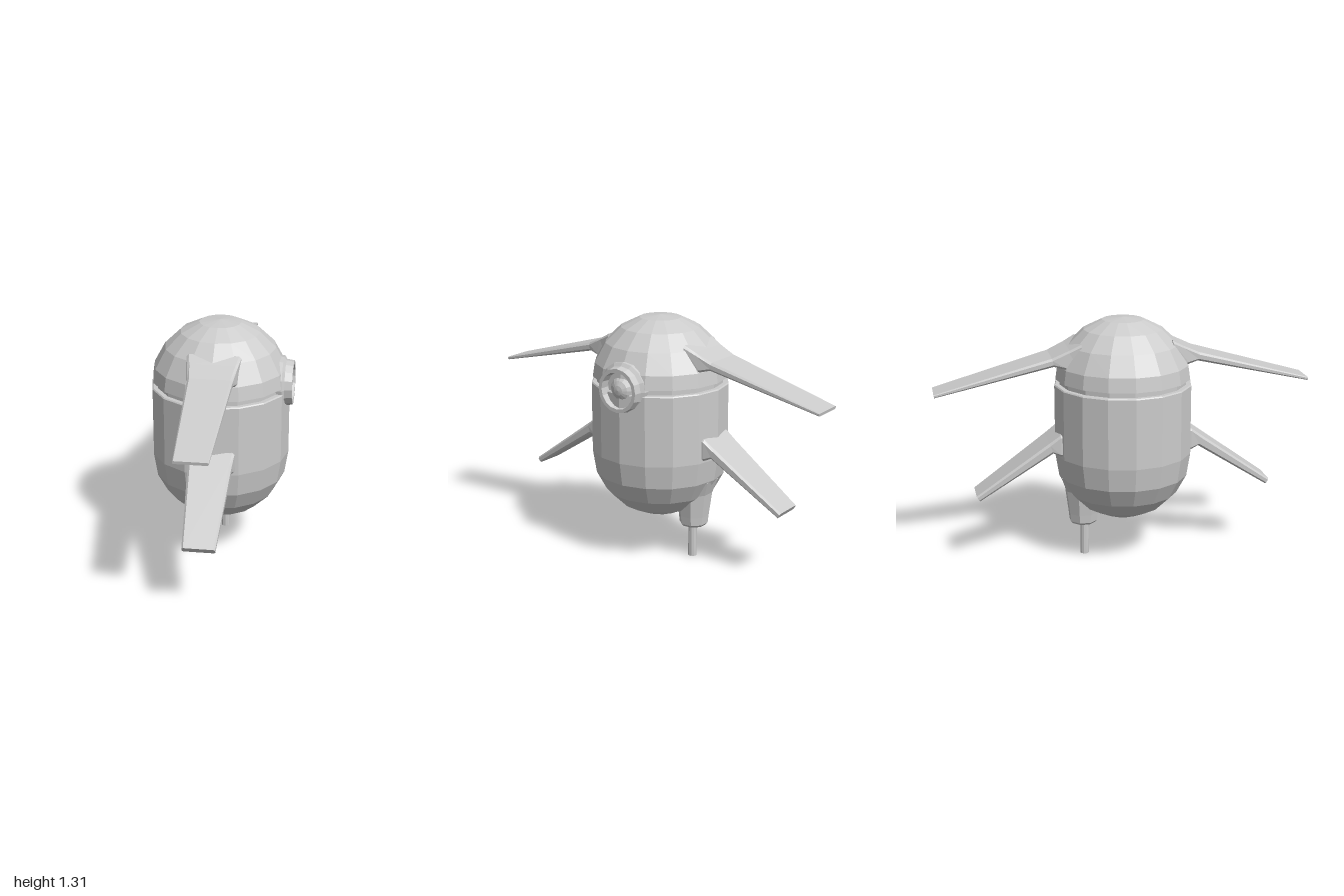
import * as THREE from 'three';

const material = new THREE.MeshStandardMaterial({ color: 0xcccccc, flatShading: true });

function add(parent, name, geometry) {
  const mesh = new THREE.Mesh(geometry, material);
  mesh.name = name;
  parent.add(mesh);
  return mesh;
}

const lathe = (points, sides) =>
  new THREE.LatheGeometry(points.map(([r, y]) => new THREE.Vector2(r, y)), sides);

// Loft of bevelled rectangles; each section is [topZ, topY, bottomZ, bottomY, halfWidth].
function wingGeometry(sections) {
  const positions = [];
  const index = [];
  for (const [tz, ty, bz, by, w] of sections) {
    const c = Math.min(0.012, 0.25 * Math.hypot(tz - bz, ty - by));
    const t = c / Math.hypot(tz - bz, ty - by);
    const outline = [[w - c, 0], [w, t], [w, 1 - t], [w - c, 1],
      [c - w, 1], [-w, 1 - t], [-w, t], [c - w, 0]];
    for (const [x, s] of outline) positions.push(x, ty + (by - ty) * s, tz + (bz - tz) * s);
  }
  const last = (sections.length - 1) * 8;
  for (let row = 0; row < last; row += 8) {
    for (let i = 0; i < 8; i++) {
      const a = row + i, b = row + (i + 1) % 8;
      index.push(a, a + 8, b, b, a + 8, b + 8);
    }
  }
  for (let i = 1; i < 7; i++) {
    index.push(0, i, i + 1);
    index.push(last, last + i + 1, last + i);
  }
  const geometry = new THREE.BufferGeometry();
  geometry.setAttribute('position', new THREE.Float32BufferAttribute(positions, 3));
  geometry.setIndex(index);
  geometry.computeVertexNormals();
  return geometry;
}

export function createModel() {
  const model = new THREE.Group();
  model.name = 'wingedPod';
  const pod = new THREE.Group();
  pod.name = 'pod';
  pod.position.x = -0.012;
  model.add(pod);

  // Capsule body, recessed seam and domed cap
  add(pod, 'body', lathe([
    [0, 0.213], [0.11, 0.228], [0.21, 0.275], [0.293, 0.355], [0.347, 0.455],
    [0.367, 0.58], [0.367, 0.95], [0.362, 0.956], [0.32, 0.956],
  ], 16));
  add(pod, 'seam', new THREE.CylinderGeometry(0.338, 0.338, 0.06, 16, 1, true)).position.y = 0.97;
  add(pod, 'dome', lathe([
    [0.32, 0.986], [0.361, 0.986], [0.35, 1.06], [0.293, 1.165],
    [0.21, 1.245], [0.11, 1.294], [0, 1.306],
  ], 16));

  // Eye on the left side: socket, rim and recessed ball
  const eye = new THREE.Group();
  eye.name = 'eye';
  eye.position.y = 0.975;
  eye.rotation.z = -Math.PI / 2;
  pod.add(eye);
  add(eye, 'eyeRim', lathe([
    [0.14, 0.25], [0.14, 0.335], [0.122, 0.348], [0.116, 0.387],
    [0.097, 0.387], [0.092, 0.335], [0, 0.335],
  ], 16));
  add(eye, 'eyeBall', new THREE.SphereGeometry(0.082, 16, 10)).position.y = 0.298;

  // Two pairs of wings, mirrored front and back
  const upper = wingGeometry([
    [0.24, 1.195, 0.24, 1.03, 0.14], [0.3, 1.163, 0.33, 1.065, 0.128],
    [0.39, 1.122, 0.38, 1.078, 0.115], [1.0, 0.952, 0.997, 0.936, 0.085],
  ]);
  const lower = wingGeometry([
    [0.28, 0.72, 0.28, 0.585, 0.122], [0.352, 0.708, 0.352, 0.593, 0.12],
    [0.41, 0.665, 0.39, 0.61, 0.113], [0.798, 0.388, 0.78, 0.36, 0.084],
  ]);
  for (const [side, angle] of [['front', 0], ['back', Math.PI]]) {
    add(pod, side + 'UpperWing', upper).rotation.y = angle;
    add(pod, side + 'LowerWing', lower).rotation.y = angle;
  }

  // Nozzle under the back with a thin pipe
  const housing = add(pod, 'nozzleHousing', lathe([
    [0, 0.183], [0.067, 0.183], [0.077, 0.195], [0.082, 0.24],
    [0.1, 0.37], [0.13, 0.45], [0, 0.47],
  ], 8));
  housing.position.z = -0.219;
  housing.rotation.y = Math.PI / 8;
  add(pod, 'nozzlePipe', new THREE.CylinderGeometry(0.023, 0.023, 0.2, 10))
    .position.set(0, 0.1, -0.213);

  return model;
}
